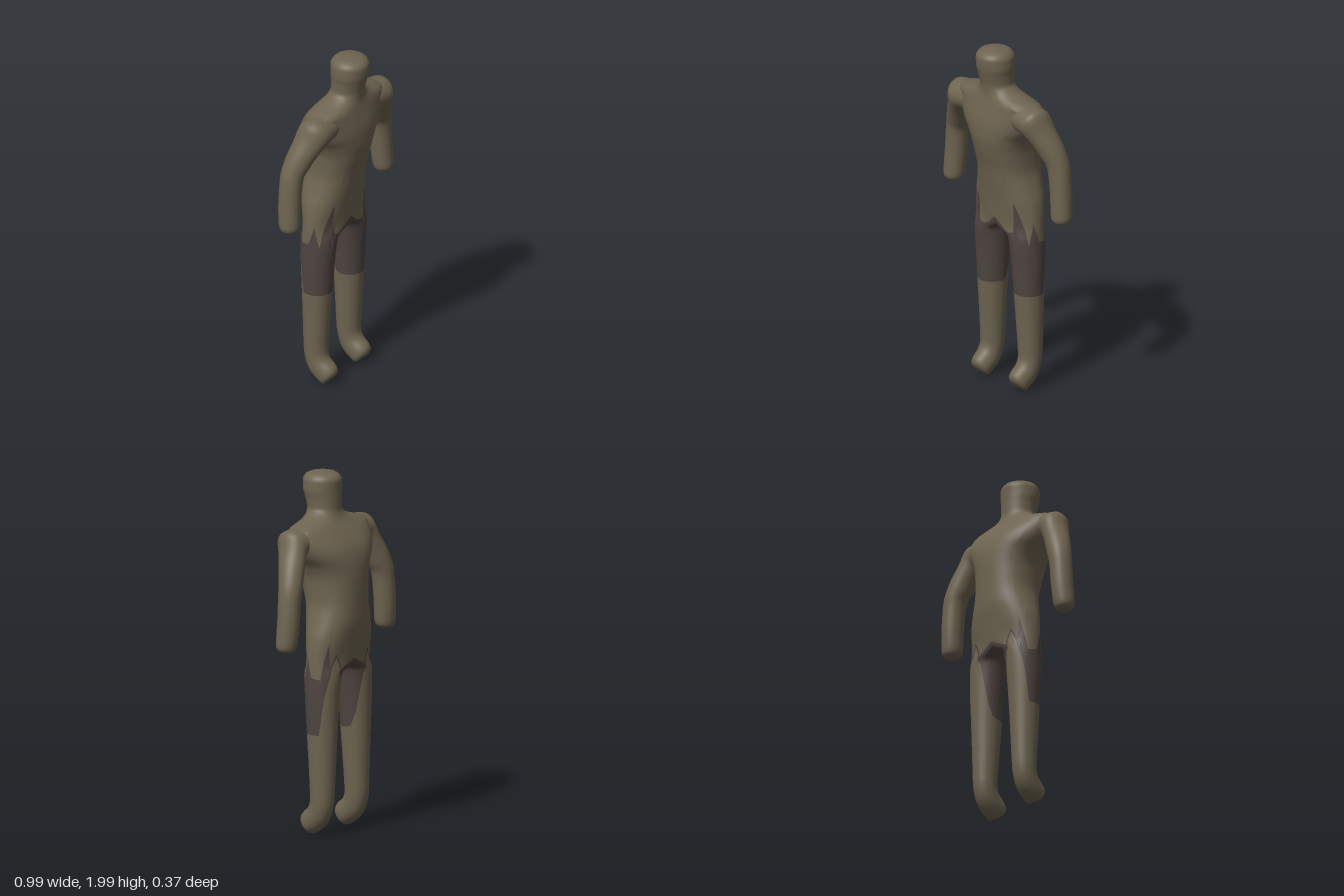
import * as THREE from 'three';

const SKIN = new THREE.MeshStandardMaterial({ color: 0x6e6450, side: THREE.DoubleSide });
const CLOTH = new THREE.MeshStandardMaterial({ color: 0x4f4541, side: THREE.DoubleSide });
const COLS = 72;
const angle = (c) => -Math.PI + (c / COLS) * Math.PI * 2; // 0 = outer side, +90 deg = front
const spow = (v, p) => Math.sign(v) * Math.abs(v) ** p;

// Linear lookup in a list of [x, y] pairs
function lookup(table, x) {
  let i = 1;
  while (i < table.length - 1 && table[i][0] < x) i++;
  const [x0, y0] = table[i - 1], [x1, y1] = table[i];
  return y0 + ((y1 - y0) * (x - x0)) / (x1 - x0);
}

// Smooth interpolation without overshoot through values v at positions s
function smooth(s, v, t) {
  const n = s.length;
  let i = 0;
  while (i < n - 2 && s[i + 1] < t) i++;
  const slope = (k) => (v[k + 1] - v[k]) / (s[k + 1] - s[k]);
  const tangent = (k) => {
    if (k === 0) return slope(0);
    if (k === n - 1) return slope(n - 2);
    const a = slope(k - 1), b = slope(k);
    return a * b <= 0 ? 0 : (2 * a * b) / (a + b);
  };
  const h = s[i + 1] - s[i], u = (t - s[i]) / h;
  return v[i] * (1 + 2 * u) * (1 - u) ** 2 + tangent(i) * h * u * (1 - u) ** 2
    + v[i + 1] * u * u * (3 - 2 * u) + tangent(i + 1) * h * u * u * (u - 1);
}

// Skins key rings; bands = [{ name, rows, material, end(angleDeg) }] split the surface into meshes
function loft(keys, bands, side) {
  const s = keys.map((k) => k.s), pos = [];
  const total = bands.reduce((n, b) => n + b.rows, 0);
  for (let c = 0; c < COLS; c++) {
    const a = angle(c), ring = keys.map((k) => k.point(a));
    const axes = [0, 1, 2].map((j) => ring.map((p) => p[j]));
    const put = (t) => pos.push(side * Math.max(0, smooth(s, axes[0], t)), smooth(s, axes[1], t), smooth(s, axes[2], t));
    let from = s[0];
    put(from);
    for (const b of bands) {
      const to = b.end(a * 180 / Math.PI);
      for (let r = 1; r <= b.rows; r++) put(from + ((to - from) * r) / b.rows);
      from = to;
    }
  }
  const id = (r, c) => (c % COLS) * (total + 1) + r;
  const all = [];
  let row = 0;
  const parts = bands.map((b) => {
    const index = [];
    const tri = (i, j, k) => {
      // faces lying in the middle plane are inside the body
      if ([i, j, k].every((n) => Math.abs(pos[n * 3]) < 1e-4)) return;
      index.push(...(side > 0 ? [i, j, k] : [i, k, j]));
    };
    for (let r = row; r < row + b.rows; r++) for (let c = 0; c < COLS; c++) {
      tri(id(r, c), id(r + 1, c), id(r, c + 1));
      tri(id(r + 1, c), id(r + 1, c + 1), id(r, c + 1));
    }
    row += b.rows;
    for (const n of index) all.push(n);
    return index;
  });
  const whole = new THREE.BufferGeometry();
  whole.setAttribute('position', new THREE.Float32BufferAttribute(pos, 3));
  whole.setIndex(all);
  whole.computeVertexNormals();
  // Keep shading continuous across the middle of the body
  const nor = whole.attributes.normal;
  for (let i = 0; i < nor.count; i++) {
    if (Math.abs(pos[i * 3]) > 1e-4) continue;
    const l = Math.hypot(nor.getY(i), nor.getZ(i)) || 1;
    nor.setXYZ(i, 0, nor.getY(i) / l, nor.getZ(i) / l);
  }
  return bands.map((b, i) => {
    const g = new THREE.BufferGeometry();
    g.setAttribute('position', whole.attributes.position);
    g.setAttribute('normal', nor);
    g.setIndex(parts[i]);
    const mesh = new THREE.Mesh(g, b.material);
    mesh.name = (side > 0 ? 'left' : 'right') + b.name;
    return mesh;
  });
}

// Closed leg ring: inner x, outer x, front z, back z, front y, back y
const legRing = ([s, xi, xo, zf, zb, yf = s, yb = s]) => ({
  s,
  point: (a) => [
    (xi + xo) / 2 + ((xo - xi) / 2) * Math.cos(a),
    (yf + yb) / 2 + ((yf - yb) / 2) * Math.sin(a),
    (zf + zb) / 2 + ((zf - zb) / 2) * Math.sin(a),
  ],
});

// Half body ring, flat along the middle: half width, front z, back z
const bodyRing = ([s, w, zf, zb]) => ({
  s,
  point: (a) => {
    const lim = (Math.PI * 2) / 3, p = s > 1.72 ? 1 : 0.87;
    const inner = Math.abs(a) > lim - 1e-6;
    const k = inner ? Math.sign(a) * (Math.PI - Math.abs(a)) / (Math.PI - lim) : spow(Math.sin(a * 0.75), p);
    const x = inner ? 0 : w * spow(Math.max(0, Math.cos(a * 0.75)), p);
    return [x, s, (zf + zb) / 2 + ((zf - zb) / 2) * k];
  },
});

// Arm ring: outer x,y, inner x,y, front z, back z
const armRing = ([ox, oy, ix, iy, zf, zb], s) => ({
  s,
  point: (a) => [
    (ox + ix) / 2 + ((ox - ix) / 2) * Math.cos(a),
    (oy + iy) / 2 + ((oy - iy) / 2) * Math.cos(a),
    (zf + zb) / 2 + ((zf - zb) / 2) * Math.sin(a),
  ],
});

const BODY = [
  // foot and leg
  ...[
    [0, 0.152, 0.152, 0.045, 0.045, 0.03, 0.03],
    [0.02, 0.11, 0.195, 0.075, 0.018, 0.055, 0.005],
    [0.05, 0.095, 0.21, 0.092, -0.005, 0.09, 0.015],
    [0.09, 0.09, 0.215, 0.08, -0.06, 0.12, 0.055],
    [0.14, 0.09, 0.217, 0.04, -0.095, 0.155, 0.12],
    [0.2, 0.087, 0.219, 0.025, -0.11],
    [0.4, 0.075, 0.225, 0.035, -0.117],
    [0.57, 0.065, 0.231, 0.047, -0.123],
    [0.75, 0.05, 0.238, 0.058, -0.13],
    [0.9, 0.028, 0.237, 0.07, -0.136],
  ].map(legRing),
  // hips, torso, shoulders, neck and head
  ...[
    [0.96, 0.235, 0.075, -0.142],
    [1.1, 0.222, 0.095, -0.165],
    [1.2, 0.195, 0.115, -0.18],
    [1.3, 0.175, 0.135, -0.182],
    [1.41, 0.18, 0.165, -0.183],
    [1.5, 0.21, 0.18, -0.178],
    [1.55, 0.25, 0.18, -0.168],
    [1.6, 0.275, 0.175, -0.15],
    [1.66, 0.295, 0.163, -0.11],
    [1.705, 0.3, 0.155, -0.072],
    [1.735, 0.2, 0.15, -0.05],
    [1.76, 0.13, 0.15, -0.037],
    [1.8, 0.097, 0.155, -0.03],
    [1.85, 0.1, 0.168, -0.03],
    [1.9, 0.108, 0.18, -0.03],
    [1.95, 0.106, 0.183, -0.032],
    [1.98, 0.088, 0.165, -0.012],
    [1.994, 0.055, 0.13, 0.02],
    [2.0, 0, 0.075, 0.075],
  ].map(bodyRing),
];

// Fingertips up to the shoulder
const ARM = [
  [0.437, 1.062, 0.437, 1.062, -0.016, -0.016],
  [0.465, 1.064, 0.408, 1.064, 0.012, -0.044],
  [0.488, 1.08, 0.388, 1.078, 0.034, -0.066],
  [0.495, 1.11, 0.378, 1.105, 0.042, -0.075],
  [0.487, 1.25, 0.365, 1.24, 0.04, -0.085],
  [0.473, 1.39, 0.35, 1.37, 0.045, -0.085],
  [0.44, 1.5, 0.322, 1.43, 0.07, -0.077],
  [0.385, 1.61, 0.285, 1.505, 0.11, -0.058],
  [0.335, 1.71, 0.245, 1.55, 0.145, -0.045],
  [0.2, 1.725, 0.17, 1.56, 0.14, -0.05],
].map(armRing);

// Ragged edges of the shorts: angle in degrees, height
const HEM = [[-180, 0.57], [-160, 0.58], [-140, 0.66], [-110, 0.88], [-95, 0.91], [-75, 1.0], [-60, 0.9],
  [-45, 0.79], [-25, 0.57], [180, 0.57]];
const WAIST = [[-180, 0.95], [-120, 0.98], [-95, 0.93], [-75, 1.02], [-60, 0.95], [-50, 1.08], [-30, 0.88], [0, 0.89],
  [20, 1.0], [35, 0.87], [70, 1.12], [80, 0.94], [100, 0.93], [120, 1.0], [180, 0.95]];

export function createModel() {
  const model = new THREE.Group();
  model.name = 'figure';
  for (const side of [1, -1]) {
    model.add(...loft(BODY, [
      { name: 'LowerLeg', rows: 32, material: SKIN, end: (d) => lookup(HEM, d) },
      { name: 'Shorts', rows: 20, material: CLOTH, end: (d) => lookup(WAIST, d) },
      { name: 'Torso', rows: 40, material: SKIN, end: () => 1.78 },
      { name: 'Head', rows: 24, material: SKIN, end: () => 2 },
    ], side));
    model.add(...loft(ARM, [{ name: 'Arm', rows: 36, material: SKIN, end: () => ARM.length - 1 }], side));
  }
  return model;
}
